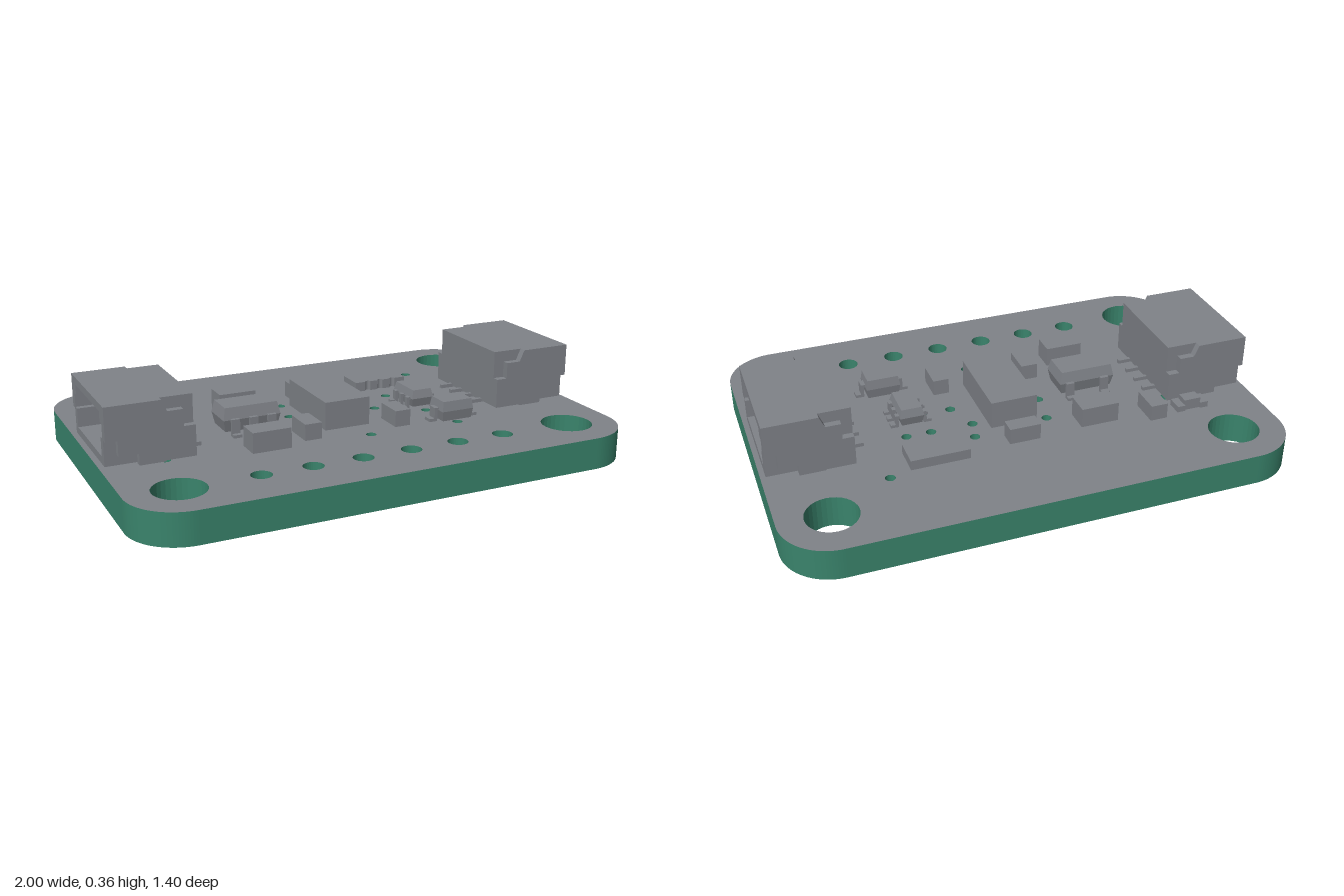
import * as THREE from 'three';

const grey = new THREE.MeshStandardMaterial({ color: 0x808389 });
grey.name = 'componentGrey';
const green = new THREE.MeshStandardMaterial({ color: 0x3a846c });
green.name = 'boardGreen';

const TOP = 0.125; // upper surface of the board

function add(parent, name, geometry, material = grey) {
  const mesh = new THREE.Mesh(geometry, material);
  mesh.name = name;
  parent.add(mesh);
  return mesh;
}

// Box given by its limits on each axis
function block(parent, name, x0, x1, y0, y1, z0, z1) {
  const g = new THREE.BoxGeometry(x1 - x0, y1 - y0, z1 - z0);
  g.translate((x0 + x1) / 2, (y0 + y1) / 2, (z0 + z1) / 2);
  return add(parent, name, g);
}

const polygon = (pts) => new THREE.Shape(pts.map(([x, y]) => new THREE.Vector2(x, y)));

// Moulded package: widest at its middle line, drawn in at top and bottom
function moulded(parent, name, x0, x1, y0, y1, z0, z1, inset) {
  let g = new THREE.BoxGeometry(x1 - x0, y1 - y0, z1 - z0, 1, 2, 1);
  const p = g.attributes.position;
  for (let i = 0; i < p.count; i++) {
    if (Math.abs(p.getY(i)) < 1e-5) continue;
    p.setX(i, p.getX(i) - Math.sign(p.getX(i)) * inset);
    p.setZ(i, p.getZ(i) - Math.sign(p.getZ(i)) * inset);
  }
  g = g.toNonIndexed();
  g.computeVertexNormals();
  g.translate((x0 + x1) / 2, (y0 + y1) / 2, (z0 + z1) / 2);
  return add(parent, name, g);
}

// Bent lead reaching outwards from (x, z) in the direction of the angle
function lead(parent, x, z, angle, reach, height, width) {
  const t = 0.012, b = reach * 0.5, h = height;
  const g = new THREE.ExtrudeGeometry(polygon([
    [-0.02, h - t], [b - t, h - t], [b - t, 0], [reach, 0],
    [reach, t], [b, t], [b, h], [-0.02, h],
  ]), { depth: width, bevelEnabled: false });
  g.translate(0, 0, -width / 2);
  const mesh = add(parent, 'lead', g);
  mesh.position.set(x, TOP, z);
  mesh.rotation.y = angle;
}

function boardShape() {
  const s = new THREE.Shape(), w = 1, d = 0.7, r = 0.2;
  s.absarc(w - r, d - r, r, 0, Math.PI / 2);
  s.absarc(r - w, d - r, r, Math.PI / 2, Math.PI);
  s.absarc(r - w, r - d, r, Math.PI, Math.PI * 1.5);
  s.absarc(w - r, r - d, r, Math.PI * 1.5, Math.PI * 2);
  const hole = (x, z, radius) =>
    s.holes.push(new THREE.Path().absarc(x, z, radius, 0, Math.PI * 2, true));
  // Mounting holes, header holes, then vias
  for (const x of [-0.8, 0.8]) for (const z of [-0.5, 0.5]) hole(x, z, 0.1);
  for (let i = 0; i < 6; i++) hole(-0.5 + i * 0.2, 0.5, 0.04);
  const vias = [
    [0.55, -0.36], [0.17, -0.21], [-0.14, -0.18], [0.15, -0.12], [0.32, -0.12],
    [0.42, -0.12], [-0.16, -0.04], [0.2, 0.01], [0.38, 0.12], [0.04, 0.29],
    [0.42, 0.3], [-0.65, -0.2], [0.73, -0.03], [0.71, 0.1], [0.31, 0.02],
    [-0.75, -0.2], [-0.76, 0.13], [-0.76, 0.22], [-0.9, -0.05],
  ];
  for (const [x, z] of vias) hole(x, z, 0.02);
  return s;
}

// Side-entry socket opening towards +x
function socket() {
  const g = new THREE.Group();
  g.name = 'socket';
  const y0 = 0.13, y1 = 0.36, half = 0.206;
  // Sleeve with a keyed opening
  const sleeve = polygon([[-half, y0], [half, y0], [half, y1], [-half, y1]]);
  sleeve.holes.push(polygon([
    [-0.174, 0.16], [-0.174, 0.235], [-0.198, 0.235], [-0.198, 0.29], [-0.174, 0.29], [-0.174, 0.33],
    [0.174, 0.33], [0.174, 0.29], [0.198, 0.29], [0.198, 0.235], [0.174, 0.235], [0.174, 0.16],
  ]));
  const sg = new THREE.ExtrudeGeometry(sleeve, { depth: 0.28, bevelEnabled: false });
  sg.rotateY(Math.PI / 2);
  sg.translate(0.7, 0, 0);
  add(g, 'sleeve', sg);
  block(g, 'backWall', 0.645, 0.7, y0, y1, -half, half);
  // Stepped cheeks on both sides
  const cheek = polygon([
    [0.645, y0], [0.86, y0], [0.86, 0.17], [0.935, 0.17], [0.935, 0.23], [0.98, 0.23],
    [0.98, y1], [0.77, y1], [0.75, 0.315], [0.69, 0.315], [0.69, 0.25], [0.645, 0.25],
  ]);
  for (const z of [half, -0.234]) {
    const cg = new THREE.ExtrudeGeometry(cheek, { depth: 0.028, bevelEnabled: false });
    cg.translate(0, 0, z);
    add(g, 'cheek', cg);
  }
  // Contacts and solder tails
  for (let i = 0; i < 4; i++) {
    const z = -0.117 + i * 0.078;
    block(g, 'contact', 0.69, 0.9, 0.26, 0.297, z - 0.008, z + 0.008);
    block(g, 'tail', 0.59, 0.66, TOP, 0.14, z - 0.008, z + 0.008);
  }
  for (const z of [-0.22, 0.22]) block(g, 'anchorTab', 0.76, 0.86, TOP, 0.15, z - 0.012, z + 0.012);
  return g;
}

export function createModel() {
  const model = new THREE.Group();
  model.name = 'circuitBoard';

  // Board core and its grey upper skin
  const shape = boardShape(), skin = 0.003;
  for (const [name, top, depth, face] of [
    ['boardCore', TOP - skin, TOP - skin, green], ['boardTop', TOP, skin, grey],
  ]) {
    const geo = new THREE.ExtrudeGeometry(shape, { depth, bevelEnabled: false, curveSegments: 16 });
    geo.rotateX(Math.PI / 2);
    geo.translate(0, top, 0);
    add(model, name, geo, [face, green]);
  }

  // Sockets at both ends
  const left = socket(), right = socket();
  right.rotation.y = Math.PI;
  model.add(left, right);

  // Plain chip parts: x0, x1, z0, z1, top
  const chips = [
    [-0.59, -0.52, -0.34, -0.22, 0.19], [-0.4, -0.245, -0.29, -0.19, 0.205],
    [-0.065, 0.06, -0.305, -0.24, 0.19], [-0.45, -0.295, 0.2, 0.295, 0.205],
    [-0.22, -0.15, 0.125, 0.25, 0.19], [-0.1, 0.09, -0.175, 0.175, 0.238],
    [0.165, 0.23, 0.135, 0.255, 0.19],
  ];
  for (const [x0, x1, z0, z1, y] of chips) block(model, 'chip', x0, x1, TOP, y, z0, z1);

  // Resistor array with scalloped front edge
  const array = polygon([[0.23, -0.34], [0.465, -0.34], [0.465, -0.22]]);
  for (let i = 2; i >= 0; i--) {
    array.absarc(0.288 + i * 0.059, -0.22, 0.012, 0, Math.PI, true);
  }
  array.lineTo(0.23, -0.22);
  const arrayGeo = new THREE.ExtrudeGeometry(array, { depth: 0.04, bevelEnabled: false, curveSegments: 4 });
  arrayGeo.rotateX(Math.PI / 2);
  arrayGeo.translate(0, 0.165, 0);
  add(model, 'resistorArray', arrayGeo);

  // Small indicator with end terminals
  block(model, 'indicatorBody', -0.75, -0.68, TOP, 0.17, -0.315, -0.265);
  for (const x of [-0.765, -0.665]) block(model, 'terminal', x - 0.017, x + 0.017, TOP, 0.15, -0.322, -0.258);

  // Regulator with three leads in front and two behind
  moulded(model, 'regulator', -0.482, -0.247, 0.14, 0.236, -0.062, 0.076, 0.01);
  for (const x of [-0.437, -0.362, -0.287]) {
    lead(model, x, 0.07, -Math.PI / 2, 0.04, 0.068, 0.034);
    if (x !== -0.362) lead(model, x, -0.056, Math.PI / 2, 0.04, 0.068, 0.034);
  }

  // Six-lead chip
  moulded(model, 'sixLeadChip', 0.328, 0.426, 0.135, 0.205, -0.062, 0.096, 0.008);
  for (const z of [-0.033, 0.017, 0.067]) {
    lead(model, 0.42, z, 0, 0.04, 0.05, 0.022);
    lead(model, 0.334, z, Math.PI, 0.04, 0.05, 0.022);
  }

  // Two-lead diode
  moulded(model, 'diode', 0.355, 0.495, 0.13, 0.21, 0.19, 0.294, 0.006);
  lead(model, 0.49, 0.241, 0, 0.044, 0.055, 0.04);
  lead(model, 0.36, 0.241, Math.PI, 0.044, 0.055, 0.04);

  return model;
}
